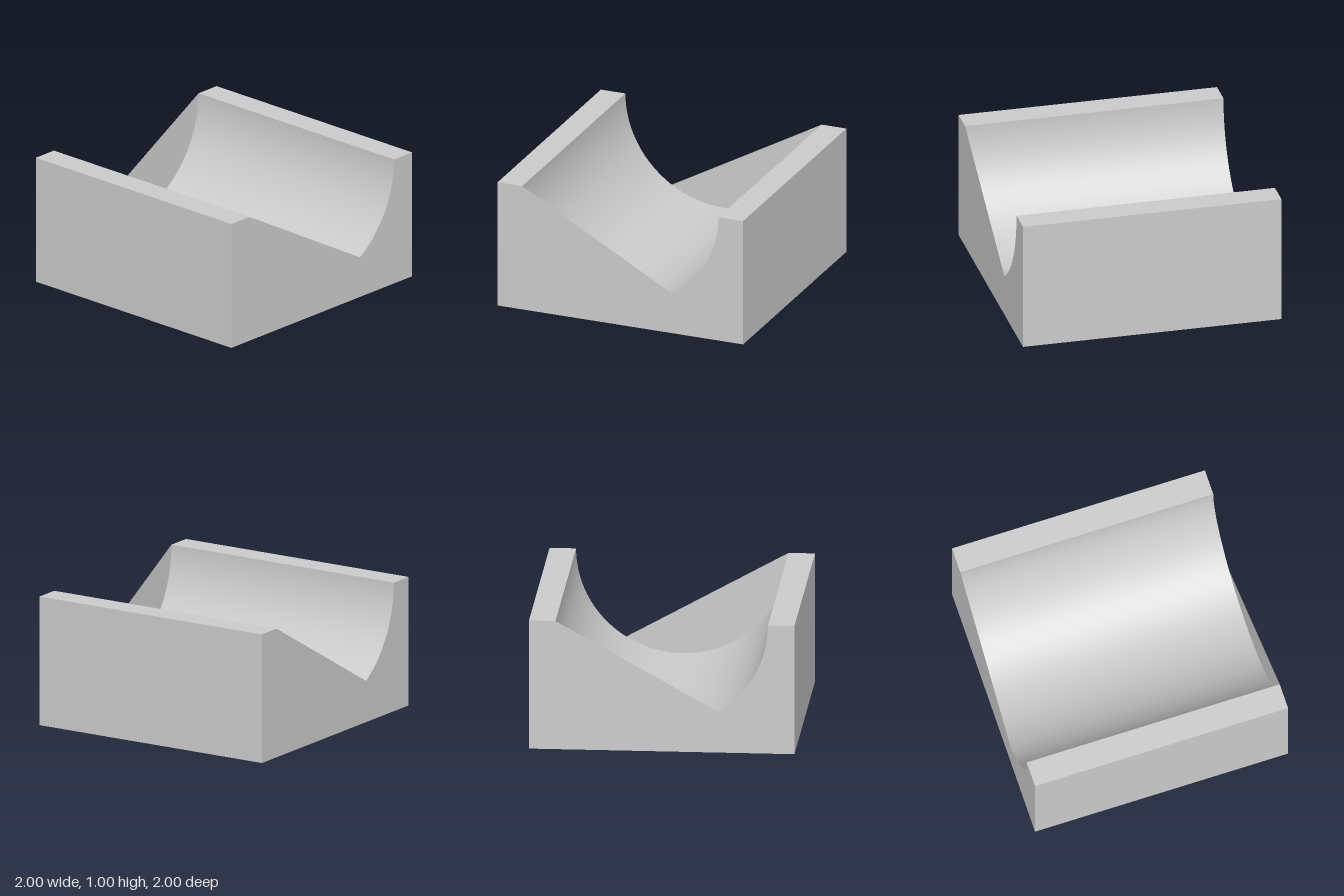
import * as THREE from 'three';

const R = 0.8; // groove radius, centred on the top plane
const SWEEP = THREE.MathUtils.degToRad(58.2); // arc left open in each end wall

export function createModel() {
  const model = new THREE.Group();
  model.name = 'groovedBlock';
  const material = new THREE.MeshStandardMaterial({ color: 0xcccccc, side: THREE.DoubleSide });

  const add = (parent, name, geometry) => {
    const mesh = new THREE.Mesh(geometry, material);
    mesh.name = name;
    parent.add(mesh);
  };

  // Half-round groove running along x
  const groove = new THREE.CylinderGeometry(R, R, 2, 96, 1, true, Math.PI, Math.PI);
  add(model, 'groove', groove.rotateZ(Math.PI / 2).translate(0, 1, 0));

  // Underside
  add(model, 'base', new THREE.PlaneGeometry(2, 2).rotateX(Math.PI / 2));

  // End wall outline: the arc opens on one side, a straight slope closes the rest
  const outline = new THREE.Shape();
  outline.moveTo(-1, 0).lineTo(1, 0).lineTo(1, 1).lineTo(R, 1);
  outline.absarc(0, 1, R, 0, -SWEEP, true);
  outline.lineTo(-R, 1).lineTo(-1, 1).closePath();

  // Two identical halves, turned half a circle about y
  for (const [name, turn] of [['frontHalf', 0], ['backHalf', Math.PI]]) {
    const half = new THREE.Group();
    half.name = name;
    half.rotation.y = turn;
    add(half, 'sideWall', new THREE.PlaneGeometry(2, 1).translate(0, 0.5, 1));
    add(half, 'topLip', new THREE.PlaneGeometry(2, 1 - R).rotateX(-Math.PI / 2).translate(0, 1, (1 + R) / 2));
    add(half, 'endWall', new THREE.ShapeGeometry(outline, 32).rotateY(Math.PI / 2).translate(1, 0, 0));
    model.add(half);
  }
  return model;
}
